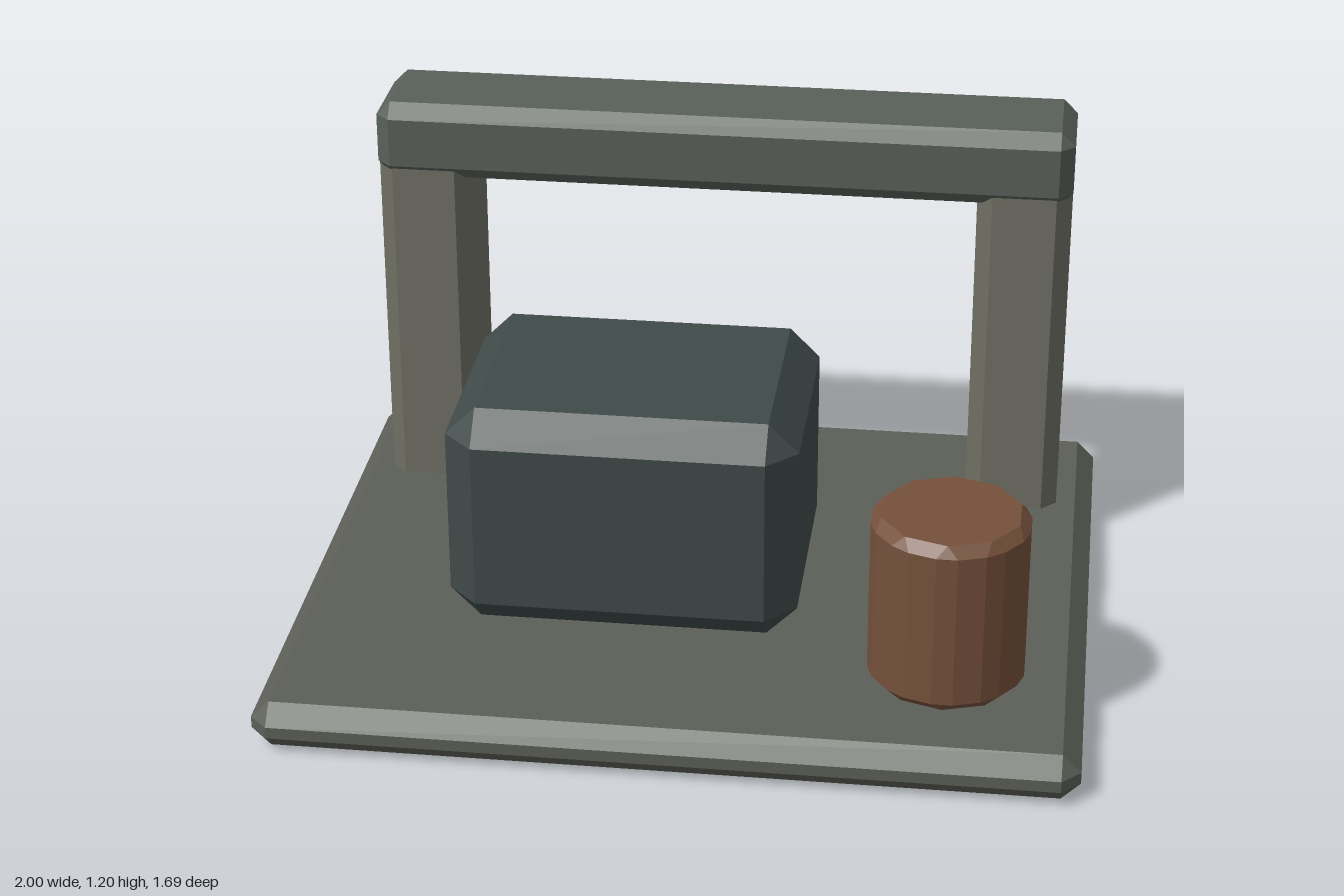
import * as THREE from 'three';
import { ConvexGeometry } from 'three/addons/geometries/ConvexGeometry.js';

const V = (x, y, z) => new THREE.Vector3(x, y, z);

function part(name, points, color) {
  const material = new THREE.MeshStandardMaterial({ color, flatShading: true });
  const mesh = new THREE.Mesh(new ConvexGeometry(points), material);
  mesh.name = name;
  return mesh;
}

// Box between two corners with every edge cut at 45 degrees by c
function chamferBox(name, min, max, c, color) {
  const centre = min.map((v, i) => (v + max[i]) / 2);
  const half = min.map((v, i) => (max[i] - v) / 2);
  const points = [];
  for (const sx of [-1, 1]) for (const sy of [-1, 1]) for (const sz of [-1, 1]) {
    const s = [sx, sy, sz];
    for (let axis = 0; axis < 3; axis++) {
      const p = s.map((k, i) => k * (half[i] - (i === axis ? 0 : c)));
      points.push(V(p[0], p[1], p[2]));
    }
  }
  const mesh = part(name, points, color);
  mesh.position.set(...centre);
  return mesh;
}

// Ten-sided drum with cut rims and cut upright edges
function chamferDrum(name, apothem, height, c, color) {
  const points = [];
  const capRadius = (apothem - c) / Math.cos(Math.PI / 10);
  const halfFace = 0.035;
  for (let i = 0; i < 10; i++) {
    const a = (i * Math.PI) / 5;
    const b = a + Math.PI / 10;
    for (const s of [-1, 1]) {
      points.push(V(Math.cos(b) * capRadius, s * height / 2, Math.sin(b) * capRadius));
      for (const t of [-halfFace, halfFace]) {
        points.push(V(
          Math.cos(a) * apothem - Math.sin(a) * t,
          s * (height / 2 - c),
          Math.sin(a) * apothem + Math.cos(a) * t
        ));
      }
    }
  }
  return part(name, points, color);
}

export function createModel() {
  const model = new THREE.Group();
  model.name = 'platformWithArch';

  // Ground slab
  model.add(chamferBox('baseSlab', [-1, 0, -0.845], [1, 0.122, 0.845], 0.046, 0x5c5f57));

  // Arch: two posts sunk into the slab and the lintel
  const arch = new THREE.Group();
  arch.name = 'arch';
  for (const [name, x] of [['rightPost', -0.782], ['leftPost', 0.782]]) {
    arch.add(chamferBox(name, [x - 0.122, 0.07, -0.672], [x + 0.122, 1.075, -0.398], 0.04, 0x6f6f64));
  }
  arch.add(chamferBox('lintel', [-0.905, 0.992, -0.692], [0.905, 1.195, -0.387], 0.037, 0x59605a));
  model.add(arch);

  // Large crate-like block
  model.add(chamferBox('block', [-0.595, 0.122, -0.285], [0.28, 0.708, 0.407], 0.076, 0x3f4a49));

  // Barrel
  const barrel = chamferDrum('barrel', 0.191, 0.45, 0.026, 0x75503b);
  barrel.position.set(0.66, 0.355, 0.476);
  model.add(barrel);

  return model;
}
